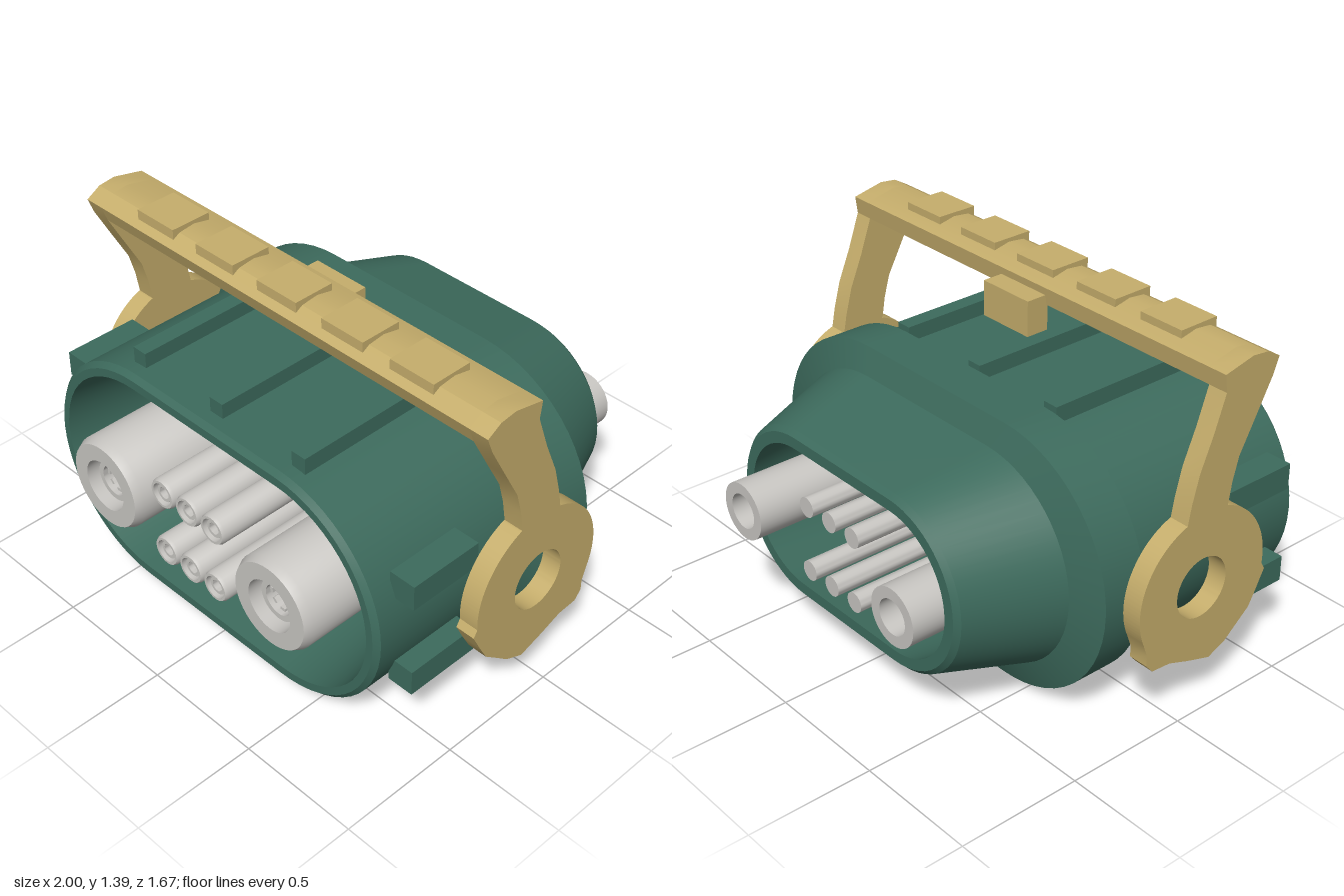
import * as THREE from 'three';
import { toCreasedNormals, mergeGeometries } from 'three/addons/utils/BufferGeometryUtils.js';

const CY = 0.54; // height of the connector axis

const material = (name, color) => {
  const m = new THREE.MeshStandardMaterial({ color });
  m.name = name;
  return m;
};

// Points of a stadium (half width hx, end radius r), counter-clockwise
function stadium(hx, r, n = 28) {
  const pts = [];
  for (const [side, start] of [[1, -Math.PI / 2], [-1, Math.PI / 2]]) {
    for (let i = 0; i <= n; i++) {
      const a = start + (Math.PI * i) / n;
      pts.push(new THREE.Vector2(side * (hx - r) + r * Math.cos(a), CY + r * Math.sin(a)));
    }
  }
  return pts;
}

// Skin through stadium sections [z, hx, r], with a sharp edge at every section
function loft(sections) {
  const bands = [];
  for (let k = 0; k < sections.length - 1; k++) {
    const pos = [], idx = [];
    for (const [z, hx, r] of [sections[k], sections[k + 1]])
      for (const p of stadium(hx, r)) pos.push(p.x, p.y, z);
    const n = pos.length / 6;
    for (let i = 0; i < n; i++) {
      const j = (i + 1) % n;
      idx.push(i, n + i, j, j, n + i, n + j);
    }
    const g = new THREE.BufferGeometry();
    g.setAttribute('position', new THREE.Float32BufferAttribute(pos, 3));
    g.setIndex(idx);
    g.computeVertexNormals();
    bands.push(g);
  }
  return mergeGeometries(bands);
}

// Turned part along z from [radius, z] pairs, listed back to front
function turned(profile, segments) {
  const g = new THREE.LatheGeometry(profile.map(([r, z]) => new THREE.Vector2(r, z)), segments);
  g.rotateX(Math.PI / 2);
  return toCreasedNormals(g, 0.6);
}

// Extrude a (z, y) shape along x, from x0 to x1
function extrudeX(shape, x0, x1) {
  const g = new THREE.ExtrudeGeometry(shape, { depth: x1 - x0, bevelEnabled: false, curveSegments: 40 });
  g.rotateY(-Math.PI / 2);
  g.translate(x1, 0, 0);
  return toCreasedNormals(g, 0.4);
}

export function createModel() {
  const model = new THREE.Group();
  model.name = 'connector';
  const green = material('housing green', 0x3d6b5d);
  const tan = material('lever tan', 0xc6ae6c);
  const grey = material('contact grey', 0xc8c6c2);
  const salmon = material('seal salmon', 0xd8816d);

  const add = (name, geometry, mat, x = 0, y = 0, z = 0, parent = model) => {
    const mesh = new THREE.Mesh(geometry, mat);
    mesh.name = name;
    mesh.position.set(x, y, z);
    parent.add(mesh);
    return mesh;
  };
  const box = (name, mat, x0, x1, y0, y1, z0, z1, parent = model) =>
    add(name, new THREE.BoxGeometry(x1 - x0, y1 - y0, z1 - z0), mat,
      (x0 + x1) / 2, (y0 + y1) / 2, (z0 + z1) / 2, parent);

  // Housing: front cavity, rim, sleeve, flange, tapered back, back cavity
  add('housing', loft([
    [0.24, 0.37, 0], [0.24, 0.74, 0.375], [0.72, 0.80, 0.425], [0.72, 0.83, 0.46], [0.70, 0.85, 0.48],
    [-0.08, 0.85, 0.48], [-0.11, 0.91, 0.525], [-0.29, 0.91, 0.525], [-0.33, 0.77, 0.43],
    [-0.69, 0.63, 0.355], [-0.71, 0.61, 0.335], [-0.71, 0.565, 0.29], [-0.33, 0.62, 0.34],
    [-0.1, 0.62, 0.34], [-0.1, 0.28, 0],
  ]), green);

  // Ribs along the top and bottom, guide blocks on the sides
  for (const x of [-0.41, 0, 0.41]) {
    box('topRib', green, x - 0.032, x + 0.032, 0.98, 1.08, -0.1, 0.65);
    box('bottomRib', green, x - 0.032, x + 0.032, 0, 0.1, -0.1, 0.65);
  }
  for (const s of [-1, 1])
    for (const y of [0.345, 0.74])
      box('sideGuide', green, s * 0.855 - 0.055, s * 0.855 + 0.055, y - 0.052, y + 0.052, 0.30, 0.61);

  // Contact plate with its seal
  const flat = (hx, r, depth) => new THREE.ExtrudeGeometry(new THREE.Shape(stadium(hx, r)),
    { depth, bevelEnabled: false });
  add('contactPlate', toCreasedNormals(flat(0.715, 0.35, 0.03), 0.4), grey, 0, 0, 0.235);
  add('seal', loft([[0.26, 0.715, 0.35], [0.26, 0.741, 0.376], [0.245, 0.741, 0.376]]), salmon);

  // Large power contacts with a fingered socket
  const power = turned([
    [0, -0.74], [0.07, -0.74], [0.07, -0.84], [0.115, -0.84], [0.115, 0], [0.188, 0], [0.188, 0.80],
    [0.172, 0.832], [0.105, 0.832], [0.105, 0.70], [0.085, 0.70], [0.085, 0.79], [0.062, 0.79],
    [0.062, 0.66], [0, 0.66],
  ], 40);
  for (const x of [-0.445, 0.445]) {
    const contact = new THREE.Group();
    contact.name = 'powerContact';
    contact.position.set(x, CY, 0);
    model.add(contact);
    add('sleeve', power, grey, 0, 0, 0, contact);
    for (let i = 0; i < 8; i++) {
      const a = (i * Math.PI) / 4;
      const finger = add('finger', new THREE.BoxGeometry(0.014, 0.022, 0.1), grey,
        0.056 * Math.cos(a), 0.056 * Math.sin(a), 0.72, contact);
      finger.rotation.z = a;
    }
  }

  // Small signal contacts
  const signal = turned([
    [0, -0.77], [0.04, -0.77], [0.04, 0], [0.062, 0], [0.062, 0.80], [0.056, 0.812], [0.046, 0.812],
    [0.046, 0.76], [0.036, 0.76], [0.036, 0.80], [0.024, 0.80], [0.024, 0.72], [0, 0.72],
  ], 24);
  for (const x of [-0.133, 0, 0.133])
    for (const y of [-0.135, 0.135]) add('signalContact', signal, grey, x, CY + y, 0);

  // Locking lever: cam plate with arm, on both sides
  const lever = new THREE.Group();
  lever.name = 'lockingLever';
  model.add(lever);
  const arm = new THREE.Shape();
  arm.moveTo(0.185, 0.83);
  for (const p of [[0.20, 0.92], [0.225, 1.01], [0.29, 1.13], [0.365, 1.27], [0.39, 1.335], [0.33, 1.37],
    [0.26, 1.378], [0.13, 1.35], [0.14, 1.28], [0.09, 1.14], [0.035, 1.01], [0.005, 0.90]]) arm.lineTo(...p);
  arm.absarc(0.08, CY, 0.298, 1.876, 3.54, false);
  for (const p of [[-0.175, 0.37], [-0.175, 0.325], [-0.145, 0.29], [-0.06, 0.283], [0.03, 0.25], [0.14, 0.215],
    [0.22, 0.25], [0.28, 0.30], [0.335, 0.345], [0.37, 0.41], [0.405, 0.48]]) arm.lineTo(...p);
  arm.absarc(0.08, CY, 0.31, -0.1, 1.21, false);
  arm.holes.push(new THREE.Path().absarc(0.08, CY, 0.12, 0, Math.PI * 2, true));
  add('leftArm', extrudeX(arm, 0.92, 1), tan, 0, 0, 0, lever);
  add('rightArm', extrudeX(arm, -1, -0.92), tan, 0, 0, 0, lever);

  // Crossbar with grip pads and a latch tab
  const bar = new THREE.Shape([[0.365, 1.27], [0.39, 1.335], [0.33, 1.37], [0.26, 1.378], [0.13, 1.35],
    [0.14, 1.28], [0.25, 1.30]].map((p) => new THREE.Vector2(...p)));
  add('crossbar', extrudeX(bar, -0.92, 0.92), tan, 0, 0, 0, lever);
  for (let i = -2; i <= 2; i++)
    box('gripPad', tan, i * 0.32 - 0.098, i * 0.32 + 0.098, 1.345, 1.393, 0.19, 0.36, lever);
  box('latchTab', tan, -0.12, 0.12, 1.18, 1.32, 0.05, 0.145, lever);

  return model;
}
